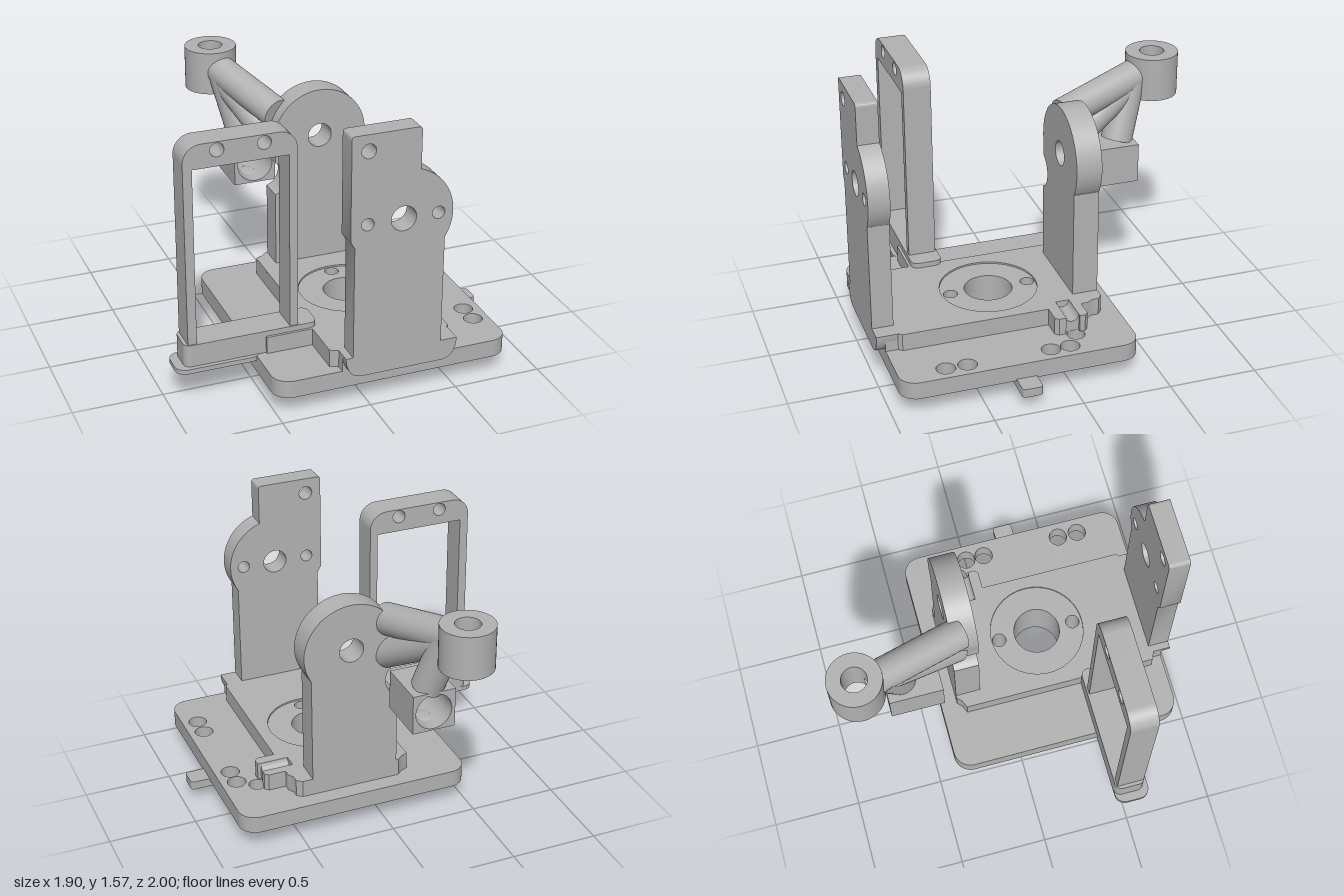
import * as THREE from 'three';
import { toCreasedNormals } from 'three/addons/utils/BufferGeometryUtils.js';

const metal = new THREE.MeshStandardMaterial({ color: 0xb2b2b2 });
metal.name = 'plain grey';

// Outline helpers: polygons, rounded rectangles and round holes
function poly(points) {
  return new THREE.Shape(points.map(([x, y]) => new THREE.Vector2(x, y)));
}

function roundRect(x0, y0, x1, y1, r, Type = THREE.Shape) {
  const s = new Type();
  s.moveTo(x0 + r, y0);
  s.lineTo(x1 - r, y0);
  s.absarc(x1 - r, y0 + r, r, -Math.PI / 2, 0, false);
  s.lineTo(x1, y1 - r);
  s.absarc(x1 - r, y1 - r, r, 0, Math.PI / 2, false);
  s.lineTo(x0 + r, y1);
  s.absarc(x0 + r, y1 - r, r, Math.PI / 2, Math.PI, false);
  s.lineTo(x0, y0 + r);
  s.absarc(x0 + r, y0 + r, r, Math.PI, Math.PI * 1.5, false);
  return s;
}

function drill(shape, holes) {
  for (const [x, y, r] of holes) {
    shape.holes.push(new THREE.Path().absarc(x, y, r, 0, Math.PI * 2, true));
  }
  return shape;
}

const disc = (x, y, r) => new THREE.Shape().absarc(x, y, r, 0, Math.PI * 2, false);

const extrude = (shape, depth) =>
  new THREE.ExtrudeGeometry(shape, { depth, bevelEnabled: false, curveSegments: 24 });

export function createModel() {
  const model = new THREE.Group();
  model.name = 'bracketAssembly';

  function add(name, geometry) {
    const mesh = new THREE.Mesh(toCreasedNormals(geometry, 0.6), metal);
    mesh.name = name;
    model.add(mesh);
    return mesh;
  }
  // Upright plate: outline in x, y
  const upright = (name, shape, z0, z1) =>
    add(name, extrude(shape, z1 - z0).translate(0, 0, z0));
  // Flat plate: outline in x, -z
  const flat = (name, shape, y0, y1) =>
    add(name, extrude(shape, y1 - y0).rotateX(-Math.PI / 2).translate(0, y0, 0));

  // Base plate and the round boss below it
  const centreHoles = [[0.165, -0.27, 0.135], [0.165, -0.04, 0.04], [0.165, -0.49, 0.04]];
  const sideHoles = [0.01, -0.1, -0.57, -0.69].map((y) => [0.75, y, 0.053]);
  flat('basePlate', drill(roundRect(-0.51, -0.95, 0.84, 0.39, 0.1),
    [...centreHoles, ...sideHoles, [0.65, 0.08, 0.05]]), 0.11, 0.21);
  flat('bottomBoss', drill(disc(0.165, -0.27, 0.275), centreHoles), 0, 0.11);

  // Raised deck with a slotted side lug and a shallow round recess
  const deck = () => poly([
    [-0.19, -0.88], [-0.145, -0.9], [-0.145, -0.95], [0.49, -0.95], [0.49, -0.88], [0.51, -0.86],
    [0.51, -0.03], [0.61, -0.03], [0.63, -0.01], [0.63, 0.03], [0.45, 0.03], [0.45, 0.11],
    [0.63, 0.11], [0.63, 0.14], [0.61, 0.16], [0.51, 0.16], [0.51, 0.2], [0.49, 0.23],
    [0.49, 0.27], [0.46, 0.295], [-0.12, 0.295], [-0.145, 0.27], [-0.19, 0.25],
  ]);
  flat('deck', drill(deck(), centreHoles), 0.21, 0.3);
  flat('deckTop', drill(deck(), [[0.165, -0.27, 0.275]]), 0.3, 0.31);

  // Curved trough inside the lug
  const trough = new THREE.Shape();
  trough.moveTo(-0.04, 0.21);
  trough.lineTo(0.04, 0.21);
  trough.lineTo(0.04, 0.31);
  trough.absarc(0, 0.31, 0.039, 0, Math.PI, true);
  trough.lineTo(-0.04, 0.31);
  add('lugTrough', extrude(trough, 0.16).rotateY(Math.PI / 2).translate(0.45, 0, -0.07));

  // Front arm: flared foot, round shoulder and upright tab
  const cx = 0.165, cy = 1.075, R = 0.277;
  const arm = new THREE.Shape();
  arm.moveTo(-0.06, 0.19);
  arm.lineTo(0.41, 0.19);
  arm.quadraticCurveTo(0.49, 0.2, 0.495, 0.31);
  arm.lineTo(0.4, 0.31);
  arm.lineTo(0.4, 0.928);
  arm.absarc(cx, cy, R, Math.atan2(-0.147, 0.235), Math.acos(0.09 / R), false);
  arm.lineTo(0.255, 1.55);
  arm.quadraticCurveTo(0.255, 1.57, 0.235, 1.57);
  arm.lineTo(-0.108, 1.57);
  arm.quadraticCurveTo(-0.128, 1.57, -0.128, 1.55);
  arm.lineTo(-0.128, 0.99);
  arm.lineTo(-0.105, 0.95);
  arm.lineTo(-0.105, 0.31);
  arm.lineTo(-0.145, 0.31);
  arm.quadraticCurveTo(-0.14, 0.2, -0.06, 0.19);
  upright('frontArm', drill(arm, [[cx, cy, 0.07], [-0.035, cy, 0.035], [0.36, cy, 0.035],
    [-0.035, 1.48, 0.04]]), 0.88, 1);

  // Rear arm: rounded head and a scooped notch in its edge
  const rear = new THREE.Shape();
  rear.moveTo(-0.105, 0.25);
  rear.lineTo(0.4, 0.25);
  rear.lineTo(0.4, 0.928);
  rear.absarc(cx, cy, 0.275, -0.56, Math.PI + 0.22, false);
  rear.lineTo(-0.105, 0.944);
  rear.absarc(-0.14, 0.845, 0.105, 1.23, -1.23, true);
  rear.lineTo(-0.105, 0.25);
  upright('rearArm', drill(rear, [[cx, cy, 0.07]]), -0.295, -0.15);

  // Window frame with its foot, flange and joining block
  const frame = new THREE.Shape();
  frame.moveTo(-0.885, 0.3);
  frame.lineTo(-0.265, 0.3);
  frame.lineTo(-0.265, 1.38);
  frame.absarc(-0.365, 1.38, 0.1, 0, Math.PI / 2, false);
  frame.lineTo(-0.785, 1.48);
  frame.absarc(-0.785, 1.38, 0.1, Math.PI / 2, Math.PI, false);
  frame.holes.push(new THREE.Path([[-0.835, 0.32], [-0.835, 1.345], [-0.31, 1.345], [-0.31, 0.32]]
    .map(([x, y]) => new THREE.Vector2(x, y))));
  upright('windowFrame', drill(frame, [[-0.7, 1.435, 0.038], [-0.445, 1.435, 0.038]]), 0.455, 0.612);
  flat('frameFoot', roundRect(-0.905, -0.62, -0.155, -0.445, 0.04), 0.21, 0.34);
  flat('frameFlange', roundRect(-0.955, -0.645, -0.48, -0.445, 0.06), 0.185, 0.211);
  flat('joiningBlock', poly([[-0.45, -0.635], [-0.15, -0.635], [-0.15, -0.45], [-0.45, -0.45]]),
    0.21, 0.309);

  // Small tab under the right edge
  flat('sideTab', roundRect(0.72, -0.325, 0.95, -0.21, 0.02), 0.07, 0.12);

  // Rear sleeve and drilled block
  flat('rearSleeve', drill(disc(-0.245, 0.85, 0.15), [[-0.245, 0.85, 0.07]]), 1.18, 1.43);
  upright('drilledBlock', drill(poly([[-0.265, 0.73], [-0.018, 0.73], [-0.018, 0.96],
    [-0.265, 0.96]]), [[-0.14, 0.845, 0.105]]), -0.695, -0.39);
  add('blockButton', new THREE.SphereGeometry(0.07, 24, 12).scale(1, 0.3, 1)
    .translate(-0.14, 0.731, -0.545));

  // Round struts joining the arm, block and sleeve
  function strut(name, a, b, r) {
    const from = new THREE.Vector3(...a), to = new THREE.Vector3(...b);
    const dir = to.clone().sub(from);
    const mesh = add(name, new THREE.CylinderGeometry(r, r, dir.length(), 32));
    mesh.position.copy(from).add(to).multiplyScalar(0.5);
    mesh.quaternion.setFromUnitVectors(new THREE.Vector3(0, 1, 0), dir.normalize());
  }
  strut('upperStrut', [-0.055, 1.2, -0.24], [-0.225, 1.31, -0.75], 0.09);
  strut('middleStrut', [-0.055, 1, -0.26], [-0.215, 1.28, -0.72], 0.085);
  strut('lowerStrut', [-0.14, 0.955, -0.605], [-0.215, 1.31, -0.71], 0.09);

  return model;
}
